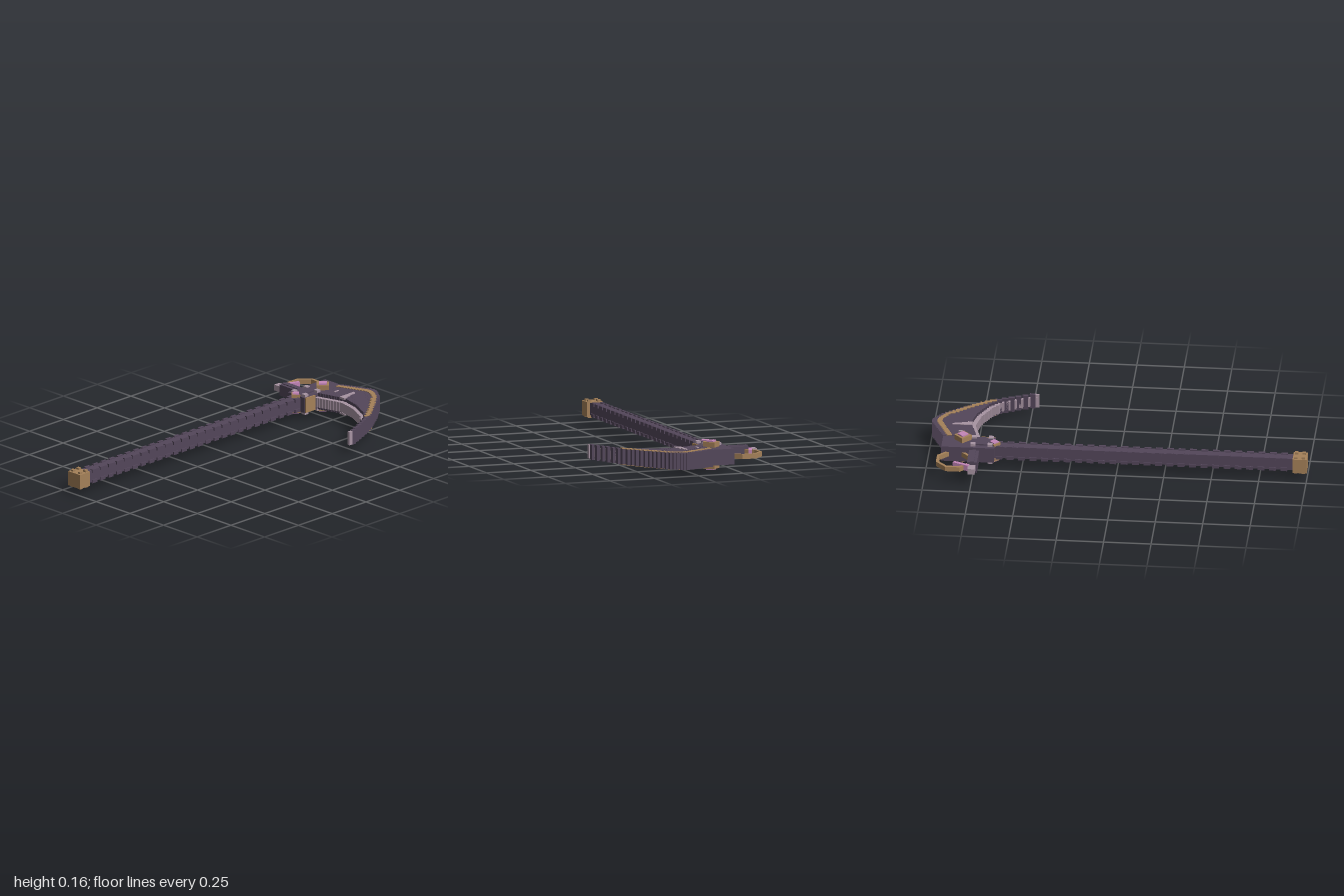
import * as THREE from 'three';

const mat = (name, color) => new THREE.MeshStandardMaterial({ name, color, flatShading: true });
const MID = 0.081; // height of the plane the weapon is mirrored about

// Piecewise-linear lookup through [x, z] points
function lerpAt(pts, x) {
  for (let i = 1; i < pts.length; i++) {
    const [x0, z0] = pts[i - 1], [x1, z1] = pts[i];
    if (x <= x1 || i === pts.length - 1) return z0 + (z1 - z0) * (x - x0) / (x1 - x0);
  }
}

export function createModel() {
  const root = new THREE.Group();
  root.name = 'scythe';
  const dark = mat('darkMetal', 0x53465a);
  const light = mat('paleSteel', 0xa894a3);
  const gold = mat('agedGold', 0xa58159);
  const pink = mat('pinkGem', 0xc486b8);

  const group = (name) => {
    const g = new THREE.Group();
    g.name = name;
    root.add(g);
    return g;
  };
  // Box from its limits on each axis
  const box = (parent, name, m, x0, x1, y0, y1, z0, z1) => {
    const b = new THREE.Mesh(new THREE.BoxGeometry(x1 - x0, y1 - y0, z1 - z0), m);
    b.position.set((x0 + x1) / 2, (y0 + y1) / 2, (z0 + z1) / 2);
    b.name = name;
    parent.add(b);
    return b;
  };
  // The same box above and below the middle plane; h0 and h1 are distances from it
  const pair = (parent, name, m, x0, x1, h0, h1, z0, z1) => [
    box(parent, name, m, x0, x1, MID + h0, MID + h1, z0, z1),
    box(parent, name, m, x0, x1, MID - h1, MID - h0, z0, z1),
  ];

  // Shaft with rows of teeth along its four edges
  const shaft = group('shaft');
  box(shaft, 'shaftCore', dark, -0.192, -0.138, 0.049, 0.114, -0.65, 0.93);
  const teeth = 26, pitch = 1.56 / teeth;
  for (let i = 0; i < teeth; i++) {
    const z = -0.64 + i * pitch;
    for (const x of [-0.198, -0.147])
      pair(shaft, 'shaftTooth', dark, x, x + 0.015, 0.02, 0.038, z, z + pitch * 0.6);
  }

  // Pommel with studs
  const pommel = group('pommel');
  box(pommel, 'pommelBlock', gold, -0.209, -0.121, 0.04, 0.119, 0.925, 1);
  for (const x of [-0.2, -0.148])
    for (const z of [0.932, 0.972])
      pair(pommel, 'pommelStud', gold, x, x + 0.018, 0.036, 0.048, z, z + 0.018);

  // Head block joining shaft, blade and rear arm
  const head = group('head');
  box(head, 'headBlock', dark, -0.231, -0.107, 0.04, 0.124, -0.922, -0.645);
  box(head, 'headSidePlate', gold, -0.115, -0.1, 0.041, 0.123, -0.72, -0.648);
  pair(head, 'headPlate', dark, -0.2, -0.14, 0.043, 0.05, -0.77, -0.65);
  for (const x of [-0.216, -0.136])
    for (const z of [-0.77, -0.68])
      pair(head, 'headStud', light, x, x + 0.024, 0.04, 0.056, z, z + 0.026);

  // Diamond ornaments on both faces
  const diamond = (name, m, x, z, half, h0, h1) => {
    const s = half * Math.SQRT2 / 2;
    pair(head, name, m, x - s, x + s, h0, h1, z - s, z + s)
      .forEach((d) => { d.rotation.y = Math.PI / 4; });
  };
  diamond('gemSetting', gold, -0.141, -0.815, 0.046, 0.042, 0.071);
  diamond('largeGem', pink, -0.141, -0.815, 0.029, 0.06, 0.078);
  diamond('smallGemSetting', gold, -0.172, -0.647, 0.033, 0.035, 0.05);
  diamond('smallGem', pink, -0.172, -0.647, 0.024, 0.04, 0.056);

  // Curved blade made of stepped slices
  const blade = group('blade');
  const outer = [[-0.105, -0.925], [-0.02, -0.965], [0.05, -0.997], [0.08, -0.992], [0.14, -0.95],
    [0.22, -0.85], [0.3, -0.735], [0.35, -0.635], [0.42, -0.475]];
  const inner = [[-0.105, -0.745], [0.05, -0.79], [0.16, -0.765], [0.27, -0.71],
    [0.32, -0.66], [0.36, -0.58], [0.42, -0.465]];
  const bandOffset = [[-0.11, 0.02], [0.05, 0.026], [0.16, 0.015], [0.32, 0.0]];
  const slices = 33, w = 0.52 / slices;
  for (let i = 0; i < slices; i++) {
    const x0 = -0.108 + i * w, xm = x0 + w / 2, x1 = x0 + w;
    const zo = lerpAt(outer, xm), zi = Math.max(lerpAt(inner, xm), zo + 0.03);
    const h = 0.046 - 0.006 * i / slices;
    box(blade, 'bladeSlice', dark, x0, x1, MID - h, MID + h, zo, zi);
    const edge = xm < 0.3 ? 0.024 : 0.01;
    box(blade, 'cuttingEdge', light, x0, x1, MID - 0.026, MID + 0.026, zi - 0.01, zi + edge);
    // Gold band following the back of the blade
    if (xm < 0.315) {
      const zb = zo + lerpAt(bandOffset, xm);
      const bw = xm < 0.14 ? 0.03 : 0.04;
      pair(blade, 'goldBand', gold, x0, x1, h - 0.002, h + 0.003, zb + 0.003, Math.min(zb + bw, zi - 0.006));
    }
  }
  box(blade, 'bladeTip', light, 0.4, 0.415, 0.045, 0.118, -0.482, -0.46);

  // Pale engraved marks on both faces of the blade
  for (let i = 0; i < 4; i++)
    pair(blade, 'bladeMark', light, 0.018 + i * 0.009, 0.027 + i * 0.009, 0.038, 0.0485,
      [-0.885, -0.875, -0.835, -0.805][i], -0.78);
  pair(blade, 'smallBladeMark', light, -0.06, -0.05, 0.038, 0.0485, -0.845, -0.815);

  // Rear arm with its pale tip
  const arm = group('rearArm');
  box(arm, 'armBar', dark, -0.368, -0.225, 0.049, 0.11, -0.775, -0.722);
  pair(arm, 'armRidge', dark, -0.368, -0.225, 0.026, 0.033, -0.758, -0.738);
  box(arm, 'armTip', light, -0.418, -0.365, 0.063, 0.095, -0.768, -0.73);

  // Slanted pink lever
  const lever = box(arm, 'lever', pink, -0.374, -0.356, 0.068, 0.1, -0.85, -0.762);
  lever.rotation.y = -0.38;

  // Octagonal ring behind the arm
  const r = 0.1;
  const octagon = (radius, Type) => {
    const s = new Type();
    for (let i = 0; i < 8; i++) {
      const a = Math.PI / 8 + i * Math.PI / 4;
      s[i ? 'lineTo' : 'moveTo'](Math.cos(a) * radius, Math.sin(a) * radius);
    }
    s.closePath();
    return s;
  };
  const ringShape = octagon(r, THREE.Shape);
  ringShape.holes.push(octagon(r - 0.016, THREE.Path));
  const ringGeo = new THREE.ExtrudeGeometry(ringShape, { depth: 0.026, bevelEnabled: false });
  ringGeo.rotateX(-Math.PI / 2);
  const ring = new THREE.Mesh(ringGeo, gold);
  ring.name = 'goldRing';
  ring.position.set(-0.308, MID - 0.013, -0.848);
  root.add(ring);

  return root;
}
